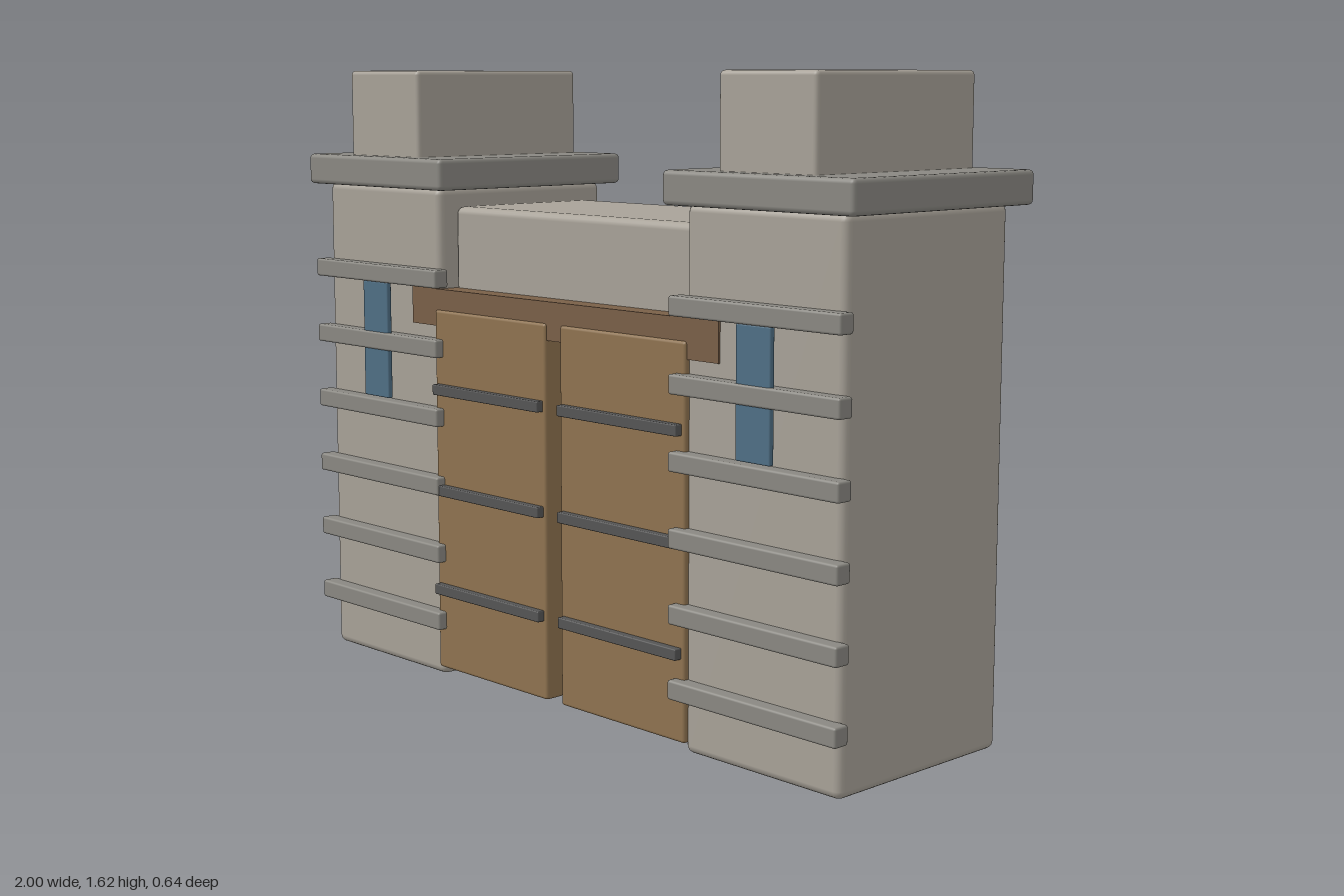
import * as THREE from 'three';
import { RoundedBoxGeometry } from 'three/addons/geometries/RoundedBoxGeometry.js';

const paint = (color) => new THREE.MeshStandardMaterial({ color });

export function createModel() {
  const gate = new THREE.Group();
  gate.name = 'gatehouse';

  const stone = paint(0xa8a298);
  const trim = paint(0x8a8882);
  const wood = paint(0x8f7350);
  const darkWood = paint(0x7a6048);
  const iron = paint(0x555555);
  const glass = paint(0x4f6f85);

  // Box given by its extents, with softened edges of the given radius
  function block(name, parent, material, [x0, x1], [y0, y1], [z0, z1], radius) {
    const w = x1 - x0, h = y1 - y0, d = z1 - z0;
    const geometry = radius
      ? new RoundedBoxGeometry(w, h, d, 2, radius)
      : new THREE.BoxGeometry(w, h, d);
    const mesh = new THREE.Mesh(geometry, material);
    mesh.name = name;
    mesh.position.set((x0 + x1) / 2, (y0 + y1) / 2, (z0 + z1) / 2);
    parent.add(mesh);
  }

  for (const [sideName, side] of [['left', 1], ['right', -1]]) {
    // Mirrors an x range onto the right side
    const span = (a, b) => (side > 0 ? [a, b] : [-b, -a]);

    // Tower with cap and top block
    const tower = new THREE.Group();
    tower.name = sideName + 'Tower';
    gate.add(tower);
    block('towerBody', tower, stone, span(0.46, 0.953), [0, 1.315], [-0.285, 0.285], 0.02);
    block('towerCap', tower, trim, span(0.413, 1), [1.31, 1.392], [-0.32, 0.32], 0.012);
    block('towerTop', tower, stone, span(0.555, 0.855), [1.38, 1.62], [-0.278, 0.278], 0.012);

    // Narrow window
    block('window', tower, glass, span(0.652, 0.76), [0.74, 1.055], [0.302, 0.317], 0.004);

    // Horizontal stone bands across the front
    for (let i = 0; i < 6; i++) {
      const y = 0.158 + i * 0.184;
      block('band' + (i + 1), tower, trim, span(0.437, 0.97),
        [y - 0.024, y + 0.024], [0.277, 0.322], 0.006);
    }

    // Door leaf with iron straps
    const door = new THREE.Group();
    door.name = sideName + 'Door';
    gate.add(door);
    block('doorPanel', door, wood, span(0.027, 0.471), [0.025, 0.995], [0.237, 0.297], 0.008);
    [0.245, 0.515, 0.785].forEach((y, i) =>
      block('strap' + (i + 1), door, iron, span(0.037, 0.46),
        [y - 0.014, y + 0.014], [0.292, 0.317], 0.003));
  }

  // Wall above the passage and the wooden lintel
  block('wallBeam', gate, stone, [-0.465, 0.465], [1.01, 1.265], [-0.23, 0.23], 0.02);
  block('lintel', gate, darkWood, [-0.573, 0.573], [0.952, 1.05], [0.222, 0.291]);

  return gate;
}
